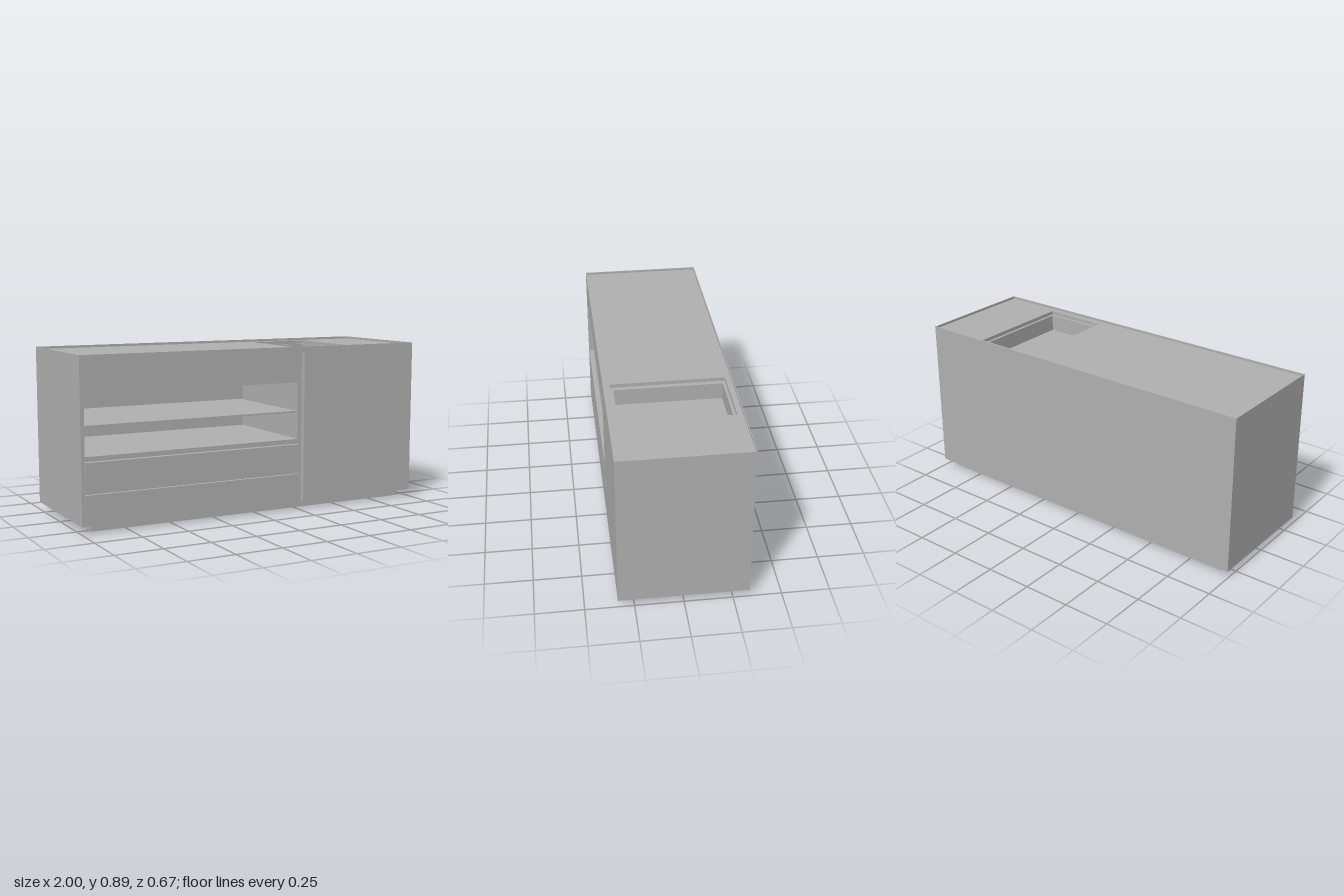
import * as THREE from 'three';

const grey = new THREE.MeshStandardMaterial({ color: 0xb0b0b0 });
grey.name = 'grey';

export function createModel() {
  const model = new THREE.Group();
  model.name = 'kitchenIsland';

  const add = (name, geometry) => {
    const mesh = new THREE.Mesh(geometry, grey);
    mesh.name = name;
    model.add(mesh);
  };
  // Box given by its limits on each axis
  const box = (name, x0, x1, y0, y1, z0, z1) => add(name,
    new THREE.BoxGeometry(x1 - x0, y1 - y0, z1 - z0)
      .translate((x0 + x1) / 2, (y0 + y1) / 2, (z0 + z1) / 2));
  // Horizontal slab with a rectangular hole; rectangles are [x0, x1, z0, z1]
  const corners = ([x0, x1, z0, z1]) =>
    [[x0, -z1], [x1, -z1], [x1, -z0], [x0, -z0]].map(p => new THREE.Vector2(...p));
  const ring = (name, outer, inner, y0, y1) => {
    const shape = new THREE.Shape(corners(outer));
    shape.holes.push(new THREE.Path(corners(inner).reverse()));
    add(name, new THREE.ExtrudeGeometry(shape, { depth: y1 - y0, bevelEnabled: false })
      .rotateX(-Math.PI / 2).translate(0, y0, 0));
  };

  const Z = 0.333, T = 0.02;          // half depth, panel thickness
  const BASE = 0.04, TOP = 0.877;     // carcass bottom and worktop height
  const FZ = 0.305;                   // plane behind the front panels
  const L = -0.98, R = 0.255, G = 0.28; // left bay and finger groove limits

  // Recessed plinth and carcass shell
  box('plinth', -0.935, 0.935, 0, BASE, -0.29, 0.28);
  box('bottomPanel', -1, 1, BASE, BASE + 0.01, -Z, FZ);
  box('backPanel', -1, 1, BASE, TOP, -Z, -Z + T);
  box('rightSide', -1, L, BASE, TOP, -Z, FZ);
  box('leftSide', 1 - T, 1, BASE, TOP, -Z, FZ);
  box('divider', R, G, BASE, TOP - 0.01, -Z + T, FZ);

  // Front panel, notched for the left bay and the round-topped groove
  const front = new THREE.Shape();
  const r = (G - R) / 2;
  front.moveTo(-1, BASE);
  front.lineTo(L, BASE);
  front.lineTo(L, 0.715);
  front.lineTo(R, 0.715);
  front.lineTo(R, 0.875 - r);
  front.absarc(R + r, 0.875 - r - 0.006, r, Math.PI, 0, true);
  front.lineTo(G, BASE);
  front.lineTo(1, BASE);
  front.lineTo(1, TOP);
  front.lineTo(-1, TOP);
  add('frontPanel', new THREE.ExtrudeGeometry(front,
    { depth: Z - FZ, bevelEnabled: false, curveSegments: 8 }).translate(0, 0, FZ));

  // Drawers with a thin joint between them
  for (const [y0, y1] of [[0.042, 0.197], [0.201, 0.36]]) {
    box('drawerFront', L + 0.002, R, y0, y1, FZ, Z);
  }
  box('drawerBody', L, R, BASE + 0.01, 0.385, -Z + T, FZ);

  // Open bay: ceiling block and one thin shelf
  box('bayCeiling', L, R, 0.695, TOP - 0.02, -Z + T, FZ);
  box('shelf', -0.97, 0.24, 0.532, 0.542, -Z + T, 0.315);

  // Worktop with raised thin rim and stepped sink
  const outer = [0.305, 0.66, -0.3, 0.297];
  const inner = [0.33, 0.645, -0.285, 0.28];
  ring('worktop', [-0.998, 0.998, -Z + 0.002, Z - 0.002], outer, 0.857, TOP);
  ring('rim', [-1, 1, -Z, Z], [-0.996, 0.996, -Z + 0.004, Z - 0.004], TOP, 0.89);
  ring('sinkWalls', outer, inner, 0.765, 0.857);
  box('sinkFloor', outer[0], outer[1], 0.755, 0.768, outer[2], outer[3]);

  return model;
}
